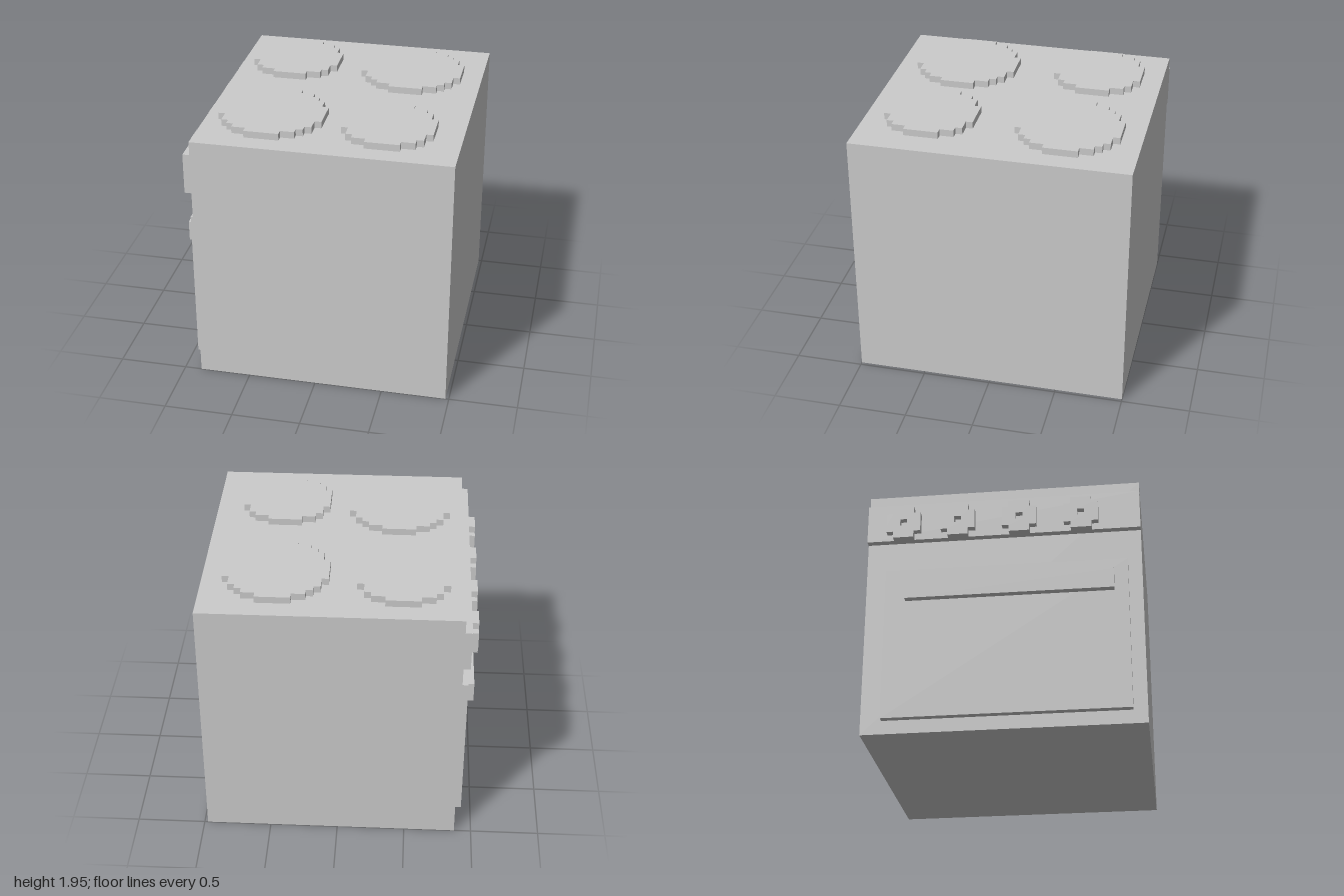
import * as THREE from 'three';

const U = 0.05; // grid step of the blocky style
const material = new THREE.MeshStandardMaterial({ color: 0xcccccc, flatShading: true });

// Box from its minimum and maximum corners
function block(name, [x0, y0, z0], [x1, y1, z1]) {
  const mesh = new THREE.Mesh(new THREE.BoxGeometry(x1 - x0, y1 - y0, z1 - z0), material);
  mesh.position.set((x0 + x1) / 2, (y0 + y1) / 2, (z0 + z1) / 2);
  mesh.name = name;
  return mesh;
}

// Stepped disc one step thick; rows lists the width of each row in steps
function steppedDisc(rows) {
  const right = [], left = [];
  rows.forEach((width, i) => {
    const x = width * U / 2;
    const y0 = (i - rows.length / 2) * U, y1 = y0 + U;
    right.push(new THREE.Vector2(x, y0), new THREE.Vector2(x, y1));
    left.unshift(new THREE.Vector2(-x, y1), new THREE.Vector2(-x, y0));
  });
  // Drop repeated points where neighbouring rows have the same width
  const points = [...right, ...left].filter((p, i, all) => i === 0 || p.distanceTo(all[i - 1]) > 1e-6);
  return new THREE.Shape(points);
}

const extrude = (shape) => new THREE.ExtrudeGeometry(shape, { depth: U, bevelEnabled: false });

export function createModel() {
  const stove = new THREE.Group();
  stove.name = 'stove';

  // Body, control panel, oven door and its handle; the working side faces -x
  stove.add(
    block('body', [-0.875, 0, -1], [0.975, 1.9, 1]),
    block('controlPanel', [-0.925, 1.5, -1], [-0.875, 1.8, 1]),
    block('ovenDoor', [-0.925, 0.1, -0.85], [-0.875, 1.25, 0.9]),
    block('doorHandle', [-0.975, 1.0, -0.7], [-0.925, 1.15, 0.8]),
  );

  // Four burners: two small, two large
  const small = extrude(steppedDisc([5, 9, 11, 11, 13, 13, 13, 13, 13, 11, 11, 9, 5])).rotateX(-Math.PI / 2);
  const large = extrude(steppedDisc([5, 9, 11, 13, 13, 15, 15, 15, 15, 15, 13, 13, 11, 9, 5])).rotateX(-Math.PI / 2);
  const burners = [
    [small, -0.45, -0.525],
    [large, 0.45, -0.475],
    [large, -0.4, 0.475],
    [small, 0.45, 0.525],
  ];
  for (const [geometry, x, z] of burners) {
    const burner = new THREE.Mesh(geometry, material);
    burner.position.set(x, 1.9, z);
    burner.name = 'burner';
    stove.add(burner);
  }

  // Four knobs with a square hole in the middle
  const knobShape = steppedDisc([3, 5, 5, 5, 3]);
  const h = U / 2;
  knobShape.holes.push(new THREE.Path([[-h, -h], [-h, h], [h, h], [h, -h]].map(([x, y]) => new THREE.Vector2(x, y))));
  const knobGeometry = extrude(knobShape).rotateY(-Math.PI / 2);
  for (const z of [-0.725, -0.325, 0.125, 0.575]) {
    const knob = new THREE.Mesh(knobGeometry, material);
    knob.position.set(-0.925, 1.625, z);
    knob.name = 'knob';
    stove.add(knob);
  }

  return stove;
}
